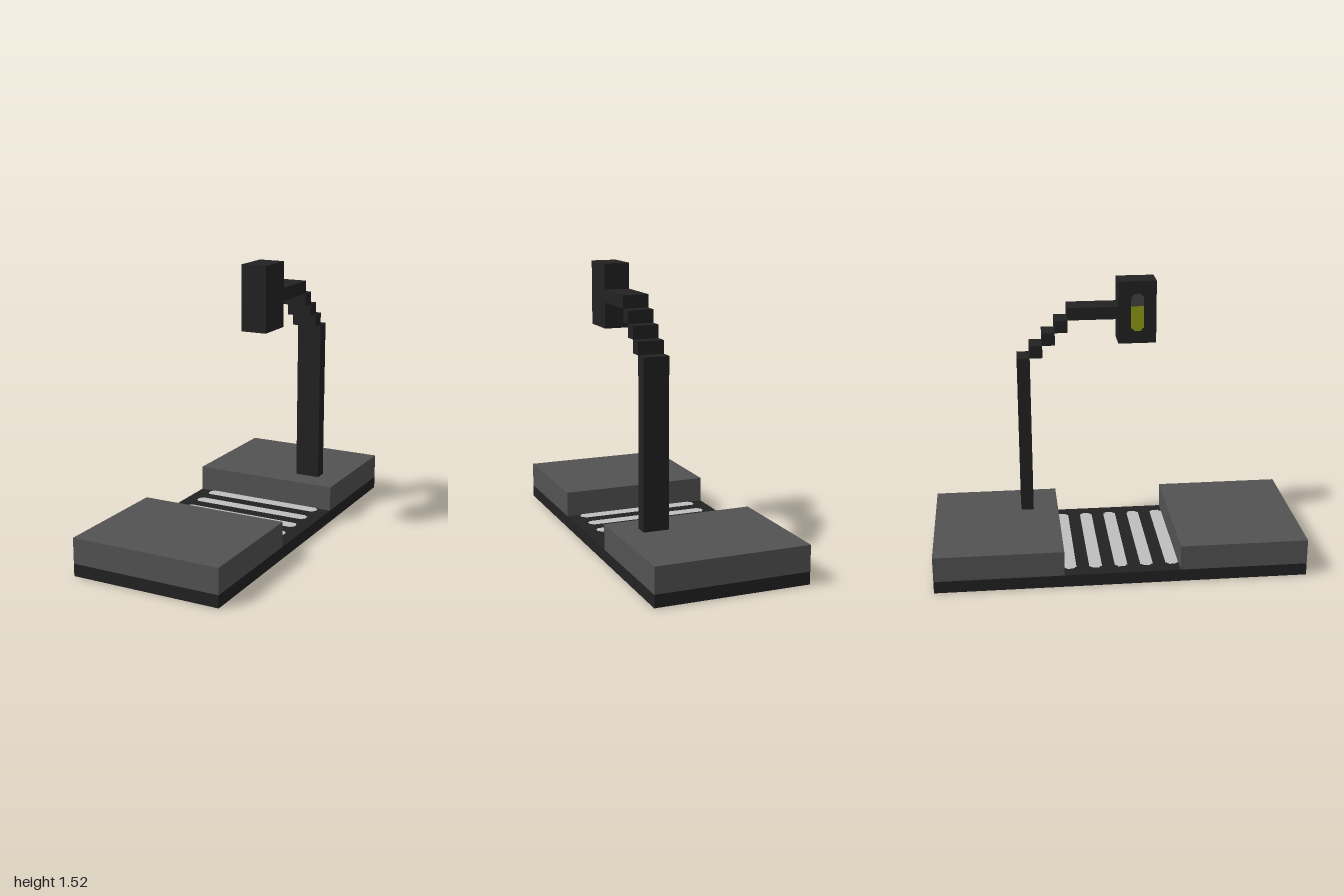
import * as THREE from 'three';

const U = 2 / 29; // one block of the model

export function createModel() {
  const model = new THREE.Group();
  model.name = 'crosswalk';

  const material = (name, color) => {
    const m = new THREE.MeshStandardMaterial({ color });
    m.name = name;
    return m;
  };
  const asphalt = material('asphalt black', 0x222222);
  const concrete = material('concrete grey', 0x535353);
  const paint = material('road paint', 0xbfbfbf);
  const unlit = material('unlit lamp grey', 0x444444);
  const lit = material('lit lamp yellow green', 0x8e9c14);

  const add = (name, geometry, mat, parent = model) => {
    const mesh = new THREE.Mesh(geometry, mat);
    mesh.name = name;
    parent.add(mesh);
    return mesh;
  };

  // Box from min and max corners in blocks; x and z are measured from the centre
  const block = (name, mat, [x0, y0, z0], [x1, y1, z1], parent = model) => {
    const mesh = add(name, new THREE.BoxGeometry((x1 - x0) * U, (y1 - y0) * U, (z1 - z0) * U), mat, parent);
    mesh.position.set((x0 + x1) * U / 2, (y0 + y1) * U / 2, (z0 + z1) * U / 2);
    return mesh;
  };

  // Flat rectangle with small stepped corners; chosen ends only
  const plate = (w, h, step, top = true, bottom = true) => {
    const right = [], left = [];
    const a = w / 2, b = h / 2;
    const corner = (sy) => [
      [a, sy * (b - 2 * step)], [a - step, sy * (b - 2 * step)],
      [a - step, sy * (b - step)], [a - 2 * step, sy * (b - step)], [a - 2 * step, sy * b],
    ];
    right.push(...(bottom ? corner(-1).reverse() : [[a, -b]]));
    right.push(...(top ? corner(1) : [[a, b]]));
    left.push(...right.map(([x, y]) => [-x, y]).reverse());
    return new THREE.ShapeGeometry(new THREE.Shape([...right, ...left].map(([x, y]) => new THREE.Vector2(x, y))));
  };

  // Road slab and the two raised pavements
  block('roadBase', asphalt, [-6, 0.03, -14.5], [6, 1, 14.5]);
  block('frontPavement', concrete, [-6, 1, 4.5], [6, 3, 14.5]);
  block('backPavement', concrete, [-6, 1, -14.5], [6, 3, -4.5]);

  // Painted stripes, on the top and the underside of the slab
  const stripes = new THREE.Group();
  stripes.name = 'stripes';
  model.add(stripes);
  const stripeShape = plate(10 * U, U, 0.008);
  for (let i = -2; i <= 2; i++) {
    const upper = add('topStripe', stripeShape, paint, stripes);
    upper.rotation.x = -Math.PI / 2;
    upper.position.set(0, U + 0.002, i * 2 * U);
    const lower = add('undersideStripe', stripeShape, paint, stripes);
    lower.rotation.x = Math.PI / 2;
    lower.position.set(0, 0, i * 2 * U);
  }

  // Signal post: upright pole, stepped bend, arm and head
  const signal = new THREE.Group();
  signal.name = 'trafficSignal';
  model.add(signal);
  block('pole', asphalt, [2, 3, -7.5], [4, 16, -6.5], signal);
  for (let i = 0; i < 3; i++) {
    block('bendStep', asphalt, [2, 16 + i, -6.5 + i], [4, 17 + i, -5.5 + i], signal);
  }
  block('arm', asphalt, [2, 19, -3.5], [4, 20, 0.5], signal);
  block('signalHead', asphalt, [2, 17, 0.5], [4, 22, 3.5], signal);

  // Lamp strip on the side of the head: unlit top, lit lower part
  const lamp = (name, mat, geometry, y) => {
    const mesh = add(name, geometry, mat, signal);
    mesh.rotation.y = -Math.PI / 2;
    mesh.position.set(2 * U - 0.002, y * U, 2 * U);
  };
  lamp('upperLamp', unlit, plate(U, U, 0.008, true, false), 20.5);
  lamp('lowerLamp', lit, plate(U, 2 * U, 0.008, false, true), 19);

  return model;
}
